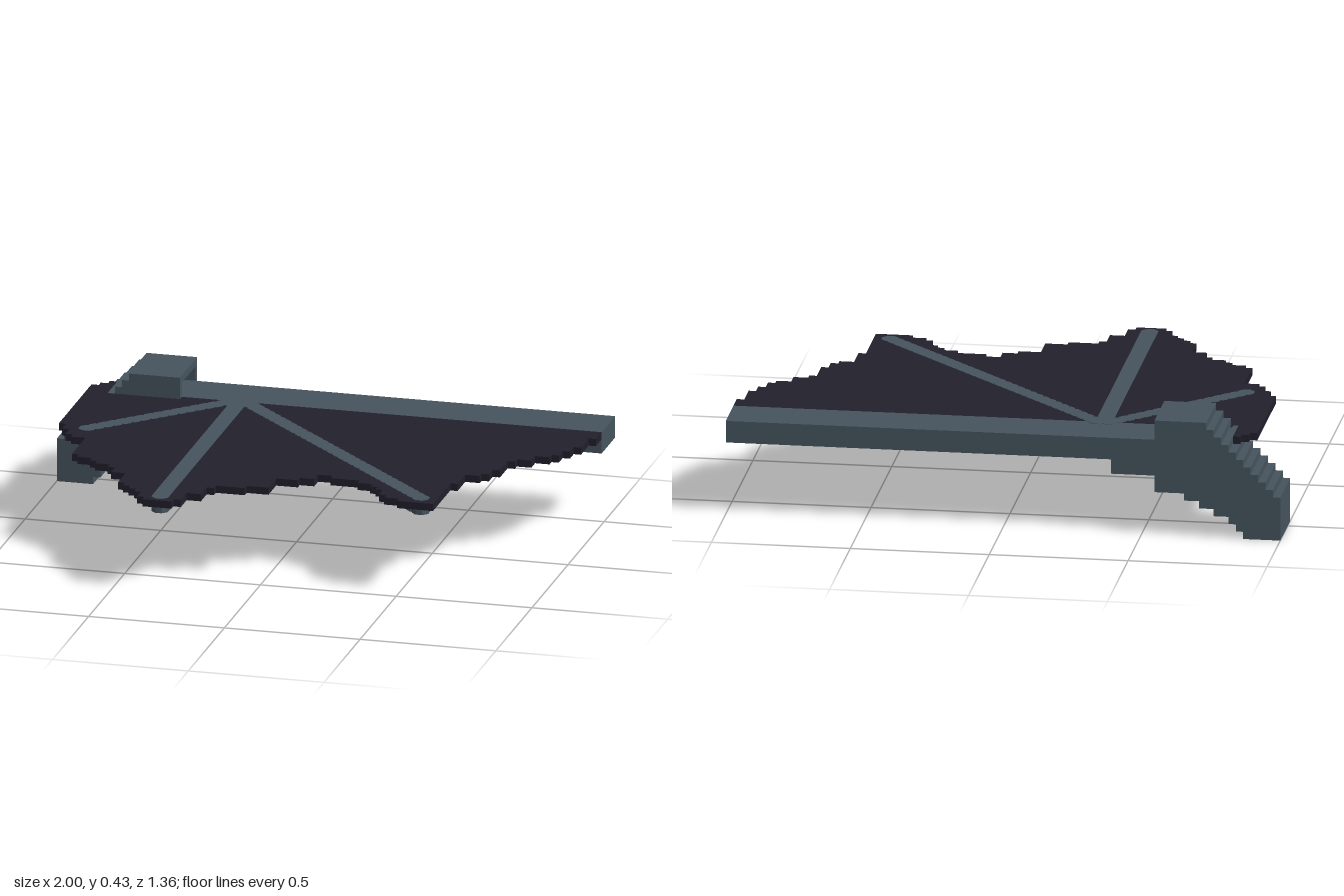
import * as THREE from 'three';

// All part sizes are in grid steps; the whole wing is 75 steps long.
const U = 2 / 75;

export function createModel() {
  const bone = new THREE.MeshStandardMaterial({ color: 0x46545e });
  bone.name = 'slate bone';
  const skin = new THREE.MeshStandardMaterial({ color: 0x21202c });
  skin.name = 'dark membrane';

  const wing = new THREE.Group();
  wing.name = 'wing';
  wing.scale.setScalar(U);
  wing.position.set(-1, 0, -25.5 * U);

  const add = (name, geometry, material, parent = wing) => {
    const mesh = new THREE.Mesh(geometry, material);
    mesh.name = name;
    parent.add(mesh);
    return mesh;
  };
  // Box given by its low and high corners
  const box = (name, [x0, y0, z0], [x1, y1, z1], parent = wing) =>
    add(name, new THREE.BoxGeometry(x1 - x0, y1 - y0, z1 - z0), bone, parent)
      .position.set((x0 + x1) / 2, (y0 + y1) / 2, (z0 + z1) / 2);
  // Stepped outline from [start, level] runs, ending at a given x
  const stairs = (runs, end) => runs.flatMap(([x, level], i) => [
    new THREE.Vector2(x, level),
    new THREE.Vector2(i + 1 < runs.length ? runs[i + 1][0] : end, level),
  ]);
  const extrude = (points, depth) =>
    new THREE.ExtrudeGeometry(new THREE.Shape(points), { depth, bevelEnabled: false });

  // Shoulder: a stepped, drooping block
  const shoulder = new THREE.Group();
  shoulder.name = 'shoulder';
  wing.add(shoulder);
  const topRuns = Array.from({ length: 11 }, (_, i) => [i, 6 + i]);
  const bottomRuns = [[0, 0], [5, 1], [6, 2], [7, 3], [9, 4], [11, 5], [13, 6]];
  const profile = [...stairs(bottomRuns, 15), ...stairs(topRuns, 15).reverse()];
  add('shoulderBlock', extrude(profile, 9), bone, shoulder);

  // Open socket at the outer end of the shoulder
  box('socketTop', [15, 15, 0], [17, 16, 9], shoulder);
  box('socketBottom', [15, 6, 0], [17, 7, 9], shoulder);
  box('socketBack', [15, 7, 0], [17, 15, 1], shoulder);
  box('socketFront', [15, 7, 8], [17, 15, 9], shoulder);

  // Leading spar and the bracket beneath it
  box('spar', [14, 10, 1], [75, 13, 8]);
  box('sparBracket', [14, 8, 1], [23, 10, 8]);

  // Membrane with a ragged trailing edge
  const trailing = [
    [4, 23], [5, 25], [6, 27], [7, 28], [9, 35], [10, 36], [12, 37], [13, 38],
    [15, 39], [16, 41], [18, 45], [19, 46], [20, 47], [21, 48], [22, 50], [23, 51],
    [27, 50], [28, 47], [30, 44], [31, 43], [35, 42], [38, 38], [41, 37], [43, 35],
    [45, 36], [49, 37], [51, 38], [52, 39], [53, 41], [54, 42], [56, 43], [61, 34],
    [62, 30], [64, 29], [65, 27], [66, 23], [67, 22], [69, 20], [71, 19], [72, 17],
    [73, 15], [74, 11],
  ];
  const leading = [[4, 6], [5, 5], [6, 4], [7, 8]];
  const membrane = extrude([...stairs(leading, 75), ...stairs(trailing, 75).reverse()], 1);
  membrane.rotateX(Math.PI / 2);
  add('membrane', membrane, skin).position.y = 13;

  // Ribs fanning out from the spar, rising just through the membrane
  const ribTop = 13.06, ribBottom = 11, ribRadius = 1.22;
  const disc = new THREE.CylinderGeometry(ribRadius, ribRadius, ribTop - ribBottom, 8)
    .toNonIndexed();
  disc.rotateY(Math.PI / 8);
  disc.computeVertexNormals();
  const hub = { x: 25, z: 8 };
  const ribY = (ribTop + ribBottom) / 2;
  const diagonalRib = (name, side, steps) => {
    const rib = new THREE.Group();
    rib.name = name;
    wing.add(rib);
    for (let i = 0; i <= steps; i++) {
      add('ribSegment', disc, bone, rib)
        .position.set(hub.x + side * (i + 0.8), ribY, hub.z + i);
    }
  };
  diagonalRib('innerRib', -1, 16);
  diagonalRib('outerRib', 1, 33);
  box('middleRib', [hub.x - 1.15, ribBottom, 8], [hub.x + 1.15, ribTop, 49.2]);
  add('middleRibTip', disc, bone).position.set(hub.x, ribY, 49.2);

  const model = new THREE.Group();
  model.name = 'model';
  model.add(wing);
  return model;
}
